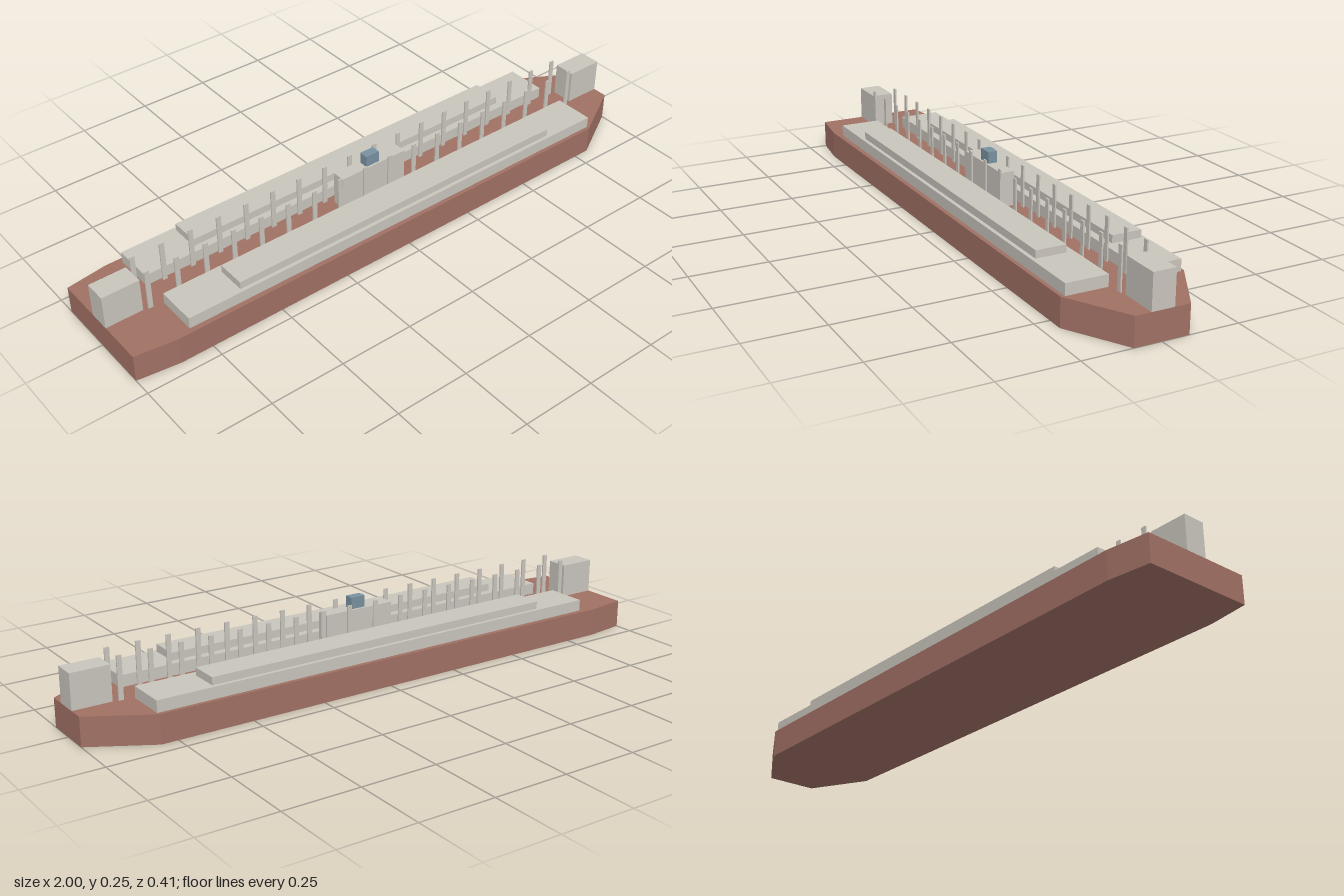
import * as THREE from 'three';

const DECK = 0.093;

export function createModel() {
  const model = new THREE.Group();
  model.name = 'barge';
  const mat = (name, color) => {
    const m = new THREE.MeshStandardMaterial({ color });
    m.name = name;
    return m;
  };
  const hullRed = mat('hullRed', 0xa07064);
  const paleGrey = mat('paleGrey', 0xc8c4bc);
  const slateBlue = mat('slateBlue', 0x78909f);

  // Box given by its limits on each axis
  const box = (name, material, [x0, x1], [y0, y1], [z0, z1]) => {
    const mesh = new THREE.Mesh(new THREE.BoxGeometry(x1 - x0, y1 - y0, z1 - z0), material);
    mesh.position.set((x0 + x1) / 2, (y0 + y1) / 2, (z0 + z1) / 2);
    mesh.name = name;
    model.add(mesh);
  };

  // Hull: half outline mirrored across the centreline, extruded upwards
  const half = [[-1, 0.187], [-0.86, 0.206], [-0.39, 0.204], [0.32, 0.202], [0.805, 0.2], [1, 0.088]];
  const outline = [...half, ...half.map(([x, z]) => [x, -z]).reverse()];
  const shape = new THREE.Shape(outline.map(([x, z]) => new THREE.Vector2(x, z)));
  const hullGeometry = new THREE.ExtrudeGeometry(shape, { depth: DECK, bevelEnabled: false });
  hullGeometry.rotateX(-Math.PI / 2);
  const hull = new THREE.Mesh(hullGeometry, hullRed);
  hull.name = 'hull';
  model.add(hull);

  // Stepped long blocks and post rows on both sides
  for (const s of [1, -1]) {
    const span = (a, b) => (s > 0 ? [a, b] : [-b, -a]);
    const side = s > 0 ? 'front' : 'back';
    box(side + 'LowerBlock', paleGrey, [-0.812, 0.808], [DECK, 0.131], span(0.05, 0.188));
    box(side + 'UpperBlock', paleGrey, [-0.625, 0.622], [0.131, 0.156], span(0.076, 0.175));
    for (let i = 0; i < 18; i++) {
      const x = -0.852 + i * 0.1;
      box(side + 'Post', paleGrey, [x - 0.008, x + 0.008], [DECK, 0.231], span(0.038, 0.043));
    }
  }

  // End houses, central house and its small cabin
  box('sternHouse', paleGrey, [-1, -0.875], [DECK, 0.207], [-0.037, 0.037]);
  box('bowHouse', paleGrey, [0.873, 1], [DECK, 0.207], [-0.037, 0.037]);
  box('centreHouse', paleGrey, [-0.128, 0.123], [DECK, 0.207], [-0.023, 0.023]);
  box('cabin', slateBlue, [-0.028, 0.023], [0.207, 0.245], [-0.015, 0.016]);

  return model;
}
